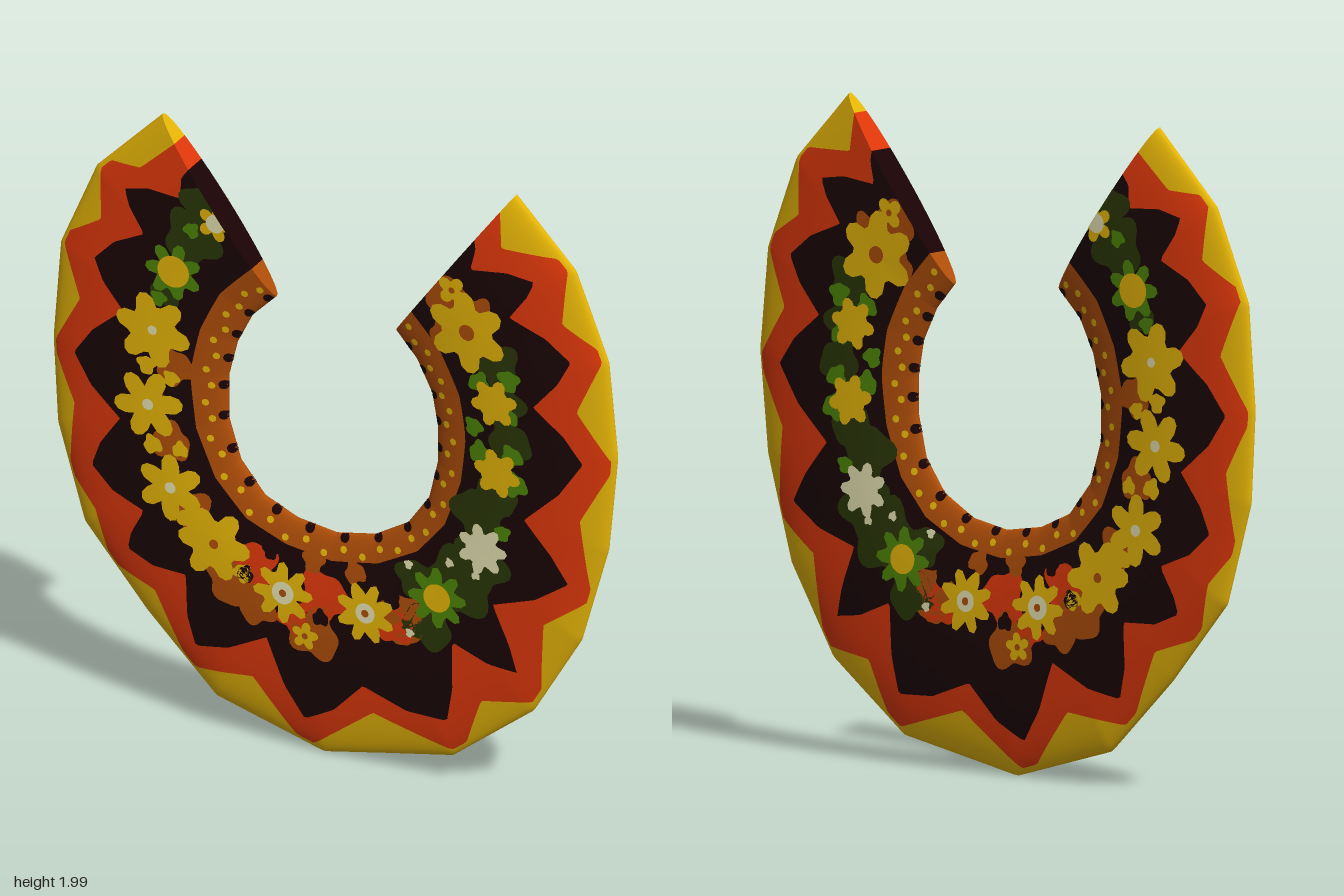
import * as THREE from 'three';

const TAU = Math.PI * 2;
const H = 0.048; // half thickness
const CX = 0.006, CY = 1.2; // both cut ends point at this centre
const A0 = 0.64, A1 = TAU - 0.633; // clockwise from the top, right cut to left cut

// Outlines as x, y pairs
const OUTER = [-.58, 2, -.8, 1.78, -.92, 1.5, -.945, 1.18, -.93, .9, -.84, .59, -.63, .34, -.4, .11, -.04, .005,
  .39, .09, .66, .3, .82, .57, .91, .89, .94, 1.2, .91, 1.51, .8, 1.79, .6, 2];
const INNER = [-.2, 1.48, -.28, 1.4, -.33, 1.3, -.36, 1.18, -.36, 1.04, -.32, .91, -.24, .81, -.13, .76, 0, .74,
  .13, .765, .24, .83, .31, .93, .34, 1.06, .34, 1.17, .32, 1.28, .27, 1.38, .2, 1.46];
// Dark zigzag: points and the valleys between them
const TIPS = [-.69, 1.74, -.79, 1.49, -.86, 1.16, -.8, .8, -.68, .55, -.455, .275, -.09, .116,
  .386, .217, .62, .43, .79, .76, .84, 1.17, .8, 1.5, .68, 1.74];
const VALLEYS = [-.47, 1.86, -.5, 1.755, -.62, 1.61, -.69, 1.34, -.7, .98, -.62, .69, -.48, .51, -.21, .365,
  .11, .275, .41, .49, .545, .645, .65, .95, .68, 1.33, .6, 1.61, .47, 1.74, .48, 1.85];
// Deepest places of the yellow border
const BORDER = [-.52, 1.93, -.64, 1.82, -.77, 1.62, -.84, 1.34, -.86, .99, -.79, .65, -.59, .43, -.26, .22,
  .14, .19, .5, .31, .71, .61, .83, .98, .82, 1.34, .77, 1.62, .57, 1.83, .56, 1.95];

const angleOf = (x, y) => (Math.atan2(x, y) + TAU) % TAU;
const polar = (a, r) => ({ x: Math.sin(a) * r, y: Math.cos(a) * r, a });
const toPoints = (list) => {
  const out = [];
  for (let i = 0; i < list.length; i += 2) {
    const x = list[i] - CX, y = list[i + 1] - CY;
    out.push({ x, y, a: angleOf(x, y) });
  }
  return out.sort((m, n) => m.a - n.a);
};

// Radius of a polyline in the direction a
function radius(points) {
  const p = [...points].sort((m, n) => m.a - n.a);
  return (a) => {
    let i = 0;
    while (i < p.length - 2 && a > p[i + 1].a) i++;
    const dx = p[i + 1].x - p[i].x, dy = p[i + 1].y - p[i].y;
    return (p[i].x * dy - p[i].y * dx) / (Math.sin(a) * dy - Math.cos(a) * dx);
  };
}
const outerR = radius(toPoints(OUTER));
const innerR = radius(toPoints(INNER));
// Zigzag with slightly bulging sides
const zigzag = toPoints([...TIPS, ...VALLEYS]);
const bulges = zigzag.slice(1).map((q, i) => {
  const x = (q.x + zigzag[i].x) / 2 * 1.025, y = (q.y + zigzag[i].y) / 2 * 1.025;
  return { x, y, a: angleOf(x, y) };
});
const zigzagR = radius([...zigzag, ...bulges]);
const redTips = toPoints(TIPS).flatMap(({ a }) =>
  [-0.025, 0.025].map((d) => polar(a + d, outerR(a + d) * 0.985)));
const borderR = radius([...toPoints(BORDER), ...redTips]);

// Section angle s: 0 at the inner rim, PI at the outer rim, back side beyond PI
const section = (a, r) => {
  const t = (r - innerR(a)) / (outerR(a) - innerR(a));
  return Math.acos(1 - 2 * Math.min(1, Math.max(0, t)));
};
const surface = (a, s) => {
  const r = innerR(a) + (outerR(a) - innerR(a)) * (1 - Math.cos(s)) / 2;
  return [CX + Math.sin(a) * r, CY + Math.cos(a) * r, H * Math.sin(s)];
};

// Indexed grid whose normal is u cross v
function grid(m, n, fn) {
  const pos = [], index = [];
  for (let i = 0; i <= m; i++) for (let j = 0; j <= n; j++) pos.push(...fn(i / m, j / n));
  for (let i = 0; i < m; i++) for (let j = 0; j < n; j++) {
    const a = i * (n + 1) + j, b = a + n + 1;
    index.push(a, b, b + 1, a, b + 1, a + 1);
  }
  const g = new THREE.BufferGeometry();
  g.setAttribute('position', new THREE.Float32BufferAttribute(pos, 3));
  g.setIndex(index);
  g.computeVertexNormals();
  return g;
}

export function createModel() {
  const model = new THREE.Group();
  model.name = 'collar';
  const mats = {};
  const colors = { yellow: 0xecba06, red: 0xe0380a, dark: 0x1a0305, brown: 0xb04e08,
    darkGreen: 0x2a3605, green: 0x4e8605, cream: 0xe8e4b4 };
  for (const [name, color] of Object.entries(colors)) {
    mats[name] = new THREE.MeshStandardMaterial({ color });
    mats[name].name = name;
  }
  const add = (parent, name, geometry, color) => {
    const mesh = new THREE.Mesh(geometry, mats[color]);
    mesh.name = name;
    parent.add(mesh);
  };

  // Body: colour bands from the inner rim to the outer rim, on both sides
  const body = new THREE.Group();
  body.name = 'body';
  model.add(body);
  const zero = () => 0, half = () => Math.PI;
  const ringWidth = (a) => 0.112 - 0.03 * Math.max(0, -Math.cos(a));
  const ringS = (a) => section(a, innerR(a) + ringWidth(a));
  const zigS = (a) => section(a, zigzagR(a));
  const borderS = (a) => section(a, Math.max(borderR(a), zigzagR(a) + 0.01));
  const strip = (lo, hi, n) => grid(400, n, (u, v) => {
    const a = A0 + (A1 - A0) * u;
    return surface(a, lo(a) + (hi(a) - lo(a)) * v);
  });
  const bands = [['innerRing', 'brown', zero, ringS], ['zigzagField', 'dark', ringS, zigS],
    ['zigzagEdge', 'red', zigS, borderS], ['outerBorder', 'yellow', borderS, half]];
  for (const [name, color, lo, hi] of bands) {
    const loBack = (a) => TAU - lo(a), hiBack = (a) => TAU - hi(a);
    if (lo === zero) add(body, name, strip((a) => -hi(a), hi, 16), color);
    else if (hi === half) add(body, name, strip(lo, loBack, 16), color);
    else {
      add(body, name + 'Front', strip(lo, hi, 8), color);
      add(body, name + 'Back', strip(hiBack, loBack, 8), color);
    }
    // Cut ends
    for (const a of [A0, A1]) {
      add(body, name + 'End', grid(1, 8, (u, v) => {
        const [x, y, z] = surface(a, lo(a) + (hi(a) - lo(a)) * v);
        return [x, y, z * (a === A0 ? 2 * u - 1 : 1 - 2 * u)];
      }), color);
    }
  }

  // Painted patch that hugs the surface on front and back
  const paint = (name, color, x, y, shape, layer) => {
    for (const side of [1, -1]) {
      add(model, name, grid(3, 36, (u, v) => {
        const phi = side * v * TAU, d = u * shape(phi);
        const px = x + Math.cos(phi) * d - CX, py = y + Math.sin(phi) * d - CY;
        const a = Math.min(A1, Math.max(A0, angleOf(px, py)));
        const [qx, qy, qz] = surface(a, section(a, Math.hypot(px, py)));
        return [qx, qy, side * (qz + 0.0012 * layer)];
      }), color);
    }
  };
  const petals = (r, n, turn) => (p) => r * (0.46 + 0.54 * Math.abs(Math.cos(n * (p - turn) / 2)) ** 0.8);
  const blob = (r, k) => (p) => r * (1 + 0.14 * Math.sin(3 * p + k) + 0.1 * Math.sin(5 * p + 2 * k));
  const disc = (r) => () => r;

  // Shaded ground behind the flowers: colour, x, y, radius
  [['darkGreen', -.42, 1.74, .075], ['darkGreen', -.46, 1.63, .09], ['darkGreen', -.55, 1.43, .05],
    ['darkGreen', .56, 1.44, .075], ['darkGreen', .58, 1.31, .07], ['darkGreen', .6, 1.2, .07],
    ['darkGreen', .56, 1.02, .07], ['darkGreen', .5, .93, .09], ['darkGreen', .5, .76, .09],
    ['darkGreen', .42, .68, .11], ['darkGreen', .33, .53, .08], ['darkGreen', .28, .67, .06],
    ['brown', -.52, 1.19, .06], ['brown', -.53, .94, .06], ['brown', -.46, .72, .07], ['brown', -.33, .53, .08],
    ['brown', -.24, .46, .06], ['brown', -.05, .41, .08], ['brown', .24, .53, .08], ['brown', .38, 1.64, .07],
    ['brown', .38, 1.5, .05], ['brown', .5, 1.6, .05], ['red', -.25, .6, .07], ['red', -.02, .54, .08],
    ['red', .22, .5, .06], ['red', -.12, .45, .05], ['brown', -.06, .645, .035], ['brown', .08, .64, .035],
  ].forEach(([c, x, y, r], i) => paint('ground', c, x, y, blob(r, i * 1.7), 1));
  [[.6, 1.4, .035], [.48, 1.22, .03], [.62, 1.06, .04], [.5, 1.14, .035], [.5, 1.37, .035], [-.46, 1.66, .025],
    [.58, .89, .025], [-.57, 1.41, .025], [.61, 1.15, .035], [.6, 1.28, .03],
  ].forEach(([x, y, r], i) => paint('leaf', 'green', x, y, blob(r, i), 2));
  [[-.2, .65], [.14, .64], [.03, .46], [-.03, .47], [-.28, .56], [.21, .58],
  ].forEach(([x, y], i) => paint('shade', 'dark', x, y, blob(.026, i), 2));
  [[-.61, 1.18, .03], [-.53, 1.15, .025], [-.59, .92, .03], [-.5, .92, .025], [-.47, .7, .035], [-.29, .56, .03],
  ].forEach(([x, y, r], i) => paint('bud', 'yellow', x, y, blob(r, i), 2));

  // Flowers: petal colour, x, y, radius, petal count, heart colour, heart radius
  [['yellow', -.38, 1.7, .06, 5, 'cream', .03], ['green', -.52, 1.51, .095, 7, 'yellow', .052],
    ['yellow', -.59, 1.3, .125, 6, 'cream', .015], ['yellow', -.605, 1.05, .115, 6, 'cream', .018],
    ['yellow', -.53, .79, .11, 6, 'cream', .018], ['yellow', -.385, .635, .12, 6, 'brown', .015],
    ['yellow', -.155, .525, .1, 8, 'cream', .036], ['yellow', .12, .52, .1, 8, 'cream', .032],
    ['green', .36, .625, .1, 8, 'yellow', .045], ['cream', .51, .82, .085, 7, 'cream', .055],
    ['yellow', .56, 1.085, .08, 6, 'yellow', .055], ['yellow', .55, 1.315, .08, 6, 'yellow', .055],
    ['yellow', .46, 1.53, .135, 6, 'brown', .026], ['yellow', -.08, .4, .045, 5, 'brown', .01],
    ['yellow', .41, 1.66, .05, 4, 'brown', .01],
  ].forEach(([c, x, y, r, n, heart, hr], i) => {
    paint('flower', c, x, y, petals(r, n, i * 0.4), 3);
    paint('flowerHeart', heart, x, y, disc(hr), 4);
  });
  for (const [x, y] of [[-.155, .525], [.12, .52]]) paint('flowerEye', 'brown', x, y, disc(.012), 5);

  // Cream specks among the leaves
  [[.26, .71], [.27, .49], [.4, .75], [.49, .73]].forEach(([x, y], i) => paint('speck', 'cream', x, y, blob(.014, i), 3));

  // Yellow beads and dark notches along the inner ring
  for (let i = 0; i < 40; i++) {
    const a = A0 + (A1 - A0) * (i + 0.5) / 40;
    const at = (d) => [CX + Math.sin(a) * (innerR(a) + d), CY + Math.cos(a) * (innerR(a) + d)];
    paint('ringBead', 'yellow', ...at(i % 2 ? 0.045 : 0.065), disc(0.011), 1);
    if (i % 2) paint('ringNotch', 'dark', ...at(0.01), disc(0.015), 1);
  }
  return model;
}
